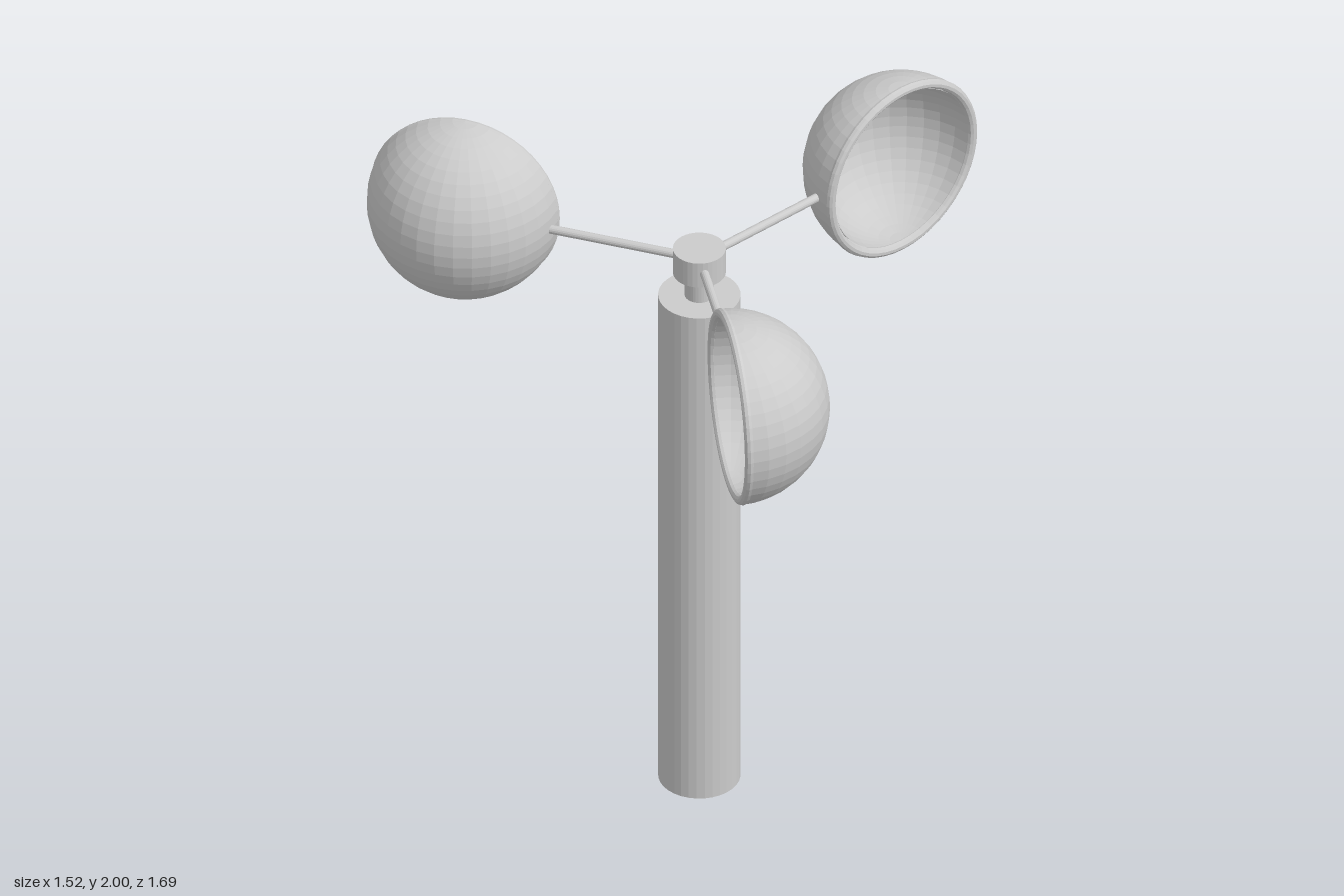
import * as THREE from 'three';

const HUB_X = -0.19, HUB_Z = 0.012, ARM_Y = 1.73;

export function createModel() {
  const model = new THREE.Group();
  model.name = 'cupAnemometer';
  const grey = new THREE.MeshStandardMaterial({ color: 0xcccccc, flatShading: true });
  const shellGrey = new THREE.MeshStandardMaterial({ color: 0xcccccc, flatShading: true, side: THREE.DoubleSide });

  const add = (parent, name, geometry, material = grey) => {
    const mesh = new THREE.Mesh(geometry, material);
    mesh.name = name;
    parent.add(mesh);
    return mesh;
  };
  // Upright cylinder on the mast axis, given by its bottom and top heights
  const post = (name, radius, y0, y1) =>
    add(model, name, new THREE.CylinderGeometry(radius, radius, y1 - y0, 32))
      .position.set(HUB_X, (y0 + y1) / 2, HUB_Z);

  post('mast', 0.112, 0, 1.61);
  post('spindle', 0.04, 1.6, 1.7);
  post('hub', 0.072, 1.685, 1.765);

  // Three arms, each carrying a hollow hemispherical cup
  const cupRadius = 0.268, lip = 0.014, cupDistance = 0.686;
  const armGeometry = new THREE.CylinderGeometry(0.0125, 0.0125, 0.43, 16);
  armGeometry.rotateZ(Math.PI / 2).translate(0.215, 0, 0);
  const halfSphere = (r) => new THREE.SphereGeometry(r, 16, 24, Math.PI, Math.PI);
  const outerGeometry = halfSphere(cupRadius);
  const innerGeometry = halfSphere(cupRadius - 2 * lip);
  const rimGeometry = new THREE.TorusGeometry(cupRadius - lip + 0.002, lip, 10, 48);

  for (let i = 0; i < 3; i++) {
    const rotorArm = new THREE.Group();
    rotorArm.name = `rotorArm${i + 1}`;
    rotorArm.position.set(HUB_X, ARM_Y, HUB_Z);
    rotorArm.rotation.y = (i * Math.PI * 2) / 3;
    add(rotorArm, 'arm', armGeometry);

    const cup = new THREE.Group();
    cup.name = 'cup';
    cup.position.set(cupDistance, 0, 0.05);
    add(cup, 'cupOuterShell', outerGeometry, shellGrey);
    add(cup, 'cupInnerShell', innerGeometry, shellGrey);
    add(cup, 'cupRim', rimGeometry);
    rotorArm.add(cup);
    model.add(rotorArm);
  }
  return model;
}
